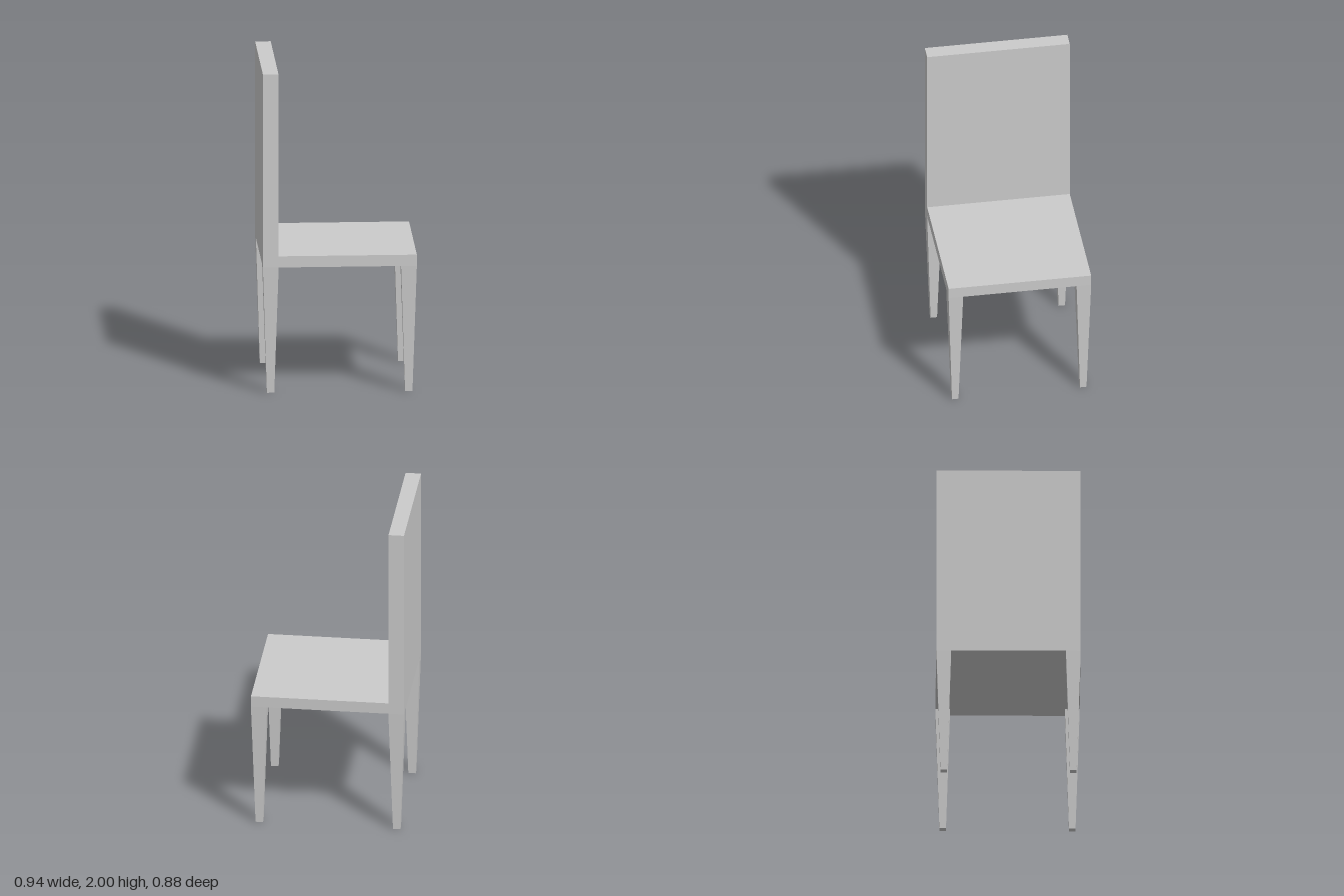
import * as THREE from 'three';

const HALF_X = 0.47, HALF_Z = 0.44;       // footprint
const SEAT_BOTTOM = 0.79, SEAT_TOP = 0.86, HEIGHT = 2;
const BACK_FRONT = -0.375;                // front face of the backrest

const material = new THREE.MeshStandardMaterial({ color: 0xcccccc, flatShading: true });

// Square-section leg narrowing evenly towards the foot
function taperedLegGeometry(topX, topZ, footX, footZ, height) {
  const geometry = new THREE.BoxGeometry(topX, height, topZ);
  geometry.translate(0, height / 2, 0);
  const p = geometry.attributes.position;
  for (let i = 0; i < p.count; i++) {
    if (p.getY(i) < height / 2) {
      p.setX(i, Math.sign(p.getX(i)) * footX / 2);
      p.setZ(i, Math.sign(p.getZ(i)) * footZ / 2);
    }
  }
  geometry.computeVertexNormals();
  return geometry;
}

export function createModel() {
  const chair = new THREE.Group();
  chair.name = 'chair';

  // Seat and upright backrest: one L-shaped profile across the full width
  const profile = new THREE.Shape([
    [-HALF_X, SEAT_BOTTOM], [HALF_X, SEAT_BOTTOM], [HALF_X, SEAT_TOP],
    [BACK_FRONT, SEAT_TOP], [BACK_FRONT, HEIGHT], [-HALF_X, HEIGHT],
  ].map(([x, y]) => new THREE.Vector2(x, y)));
  const bodyGeometry = new THREE.ExtrudeGeometry(profile, { depth: 2 * HALF_Z, bevelEnabled: false });
  bodyGeometry.translate(0, 0, -HALF_Z);
  const body = new THREE.Mesh(bodyGeometry, material);
  body.name = 'seatAndBackrest';
  chair.add(body);

  // Four tapered legs, flush with the seat corners
  const topX = 0.096, topZ = 0.09;
  const legGeometry = taperedLegGeometry(topX, topZ, 0.045, 0.04, SEAT_BOTTOM);
  for (const [xName, sx] of [['Left', 1], ['Right', -1]]) {
    for (const [zName, sz] of [['front', 1], ['back', -1]]) {
      const leg = new THREE.Mesh(legGeometry, material);
      leg.name = `${zName}${xName}Leg`;
      leg.position.set(sx * (HALF_X - topX / 2), 0, sz * (HALF_Z - topZ / 2));
      chair.add(leg);
    }
  }
  return chair;
}
